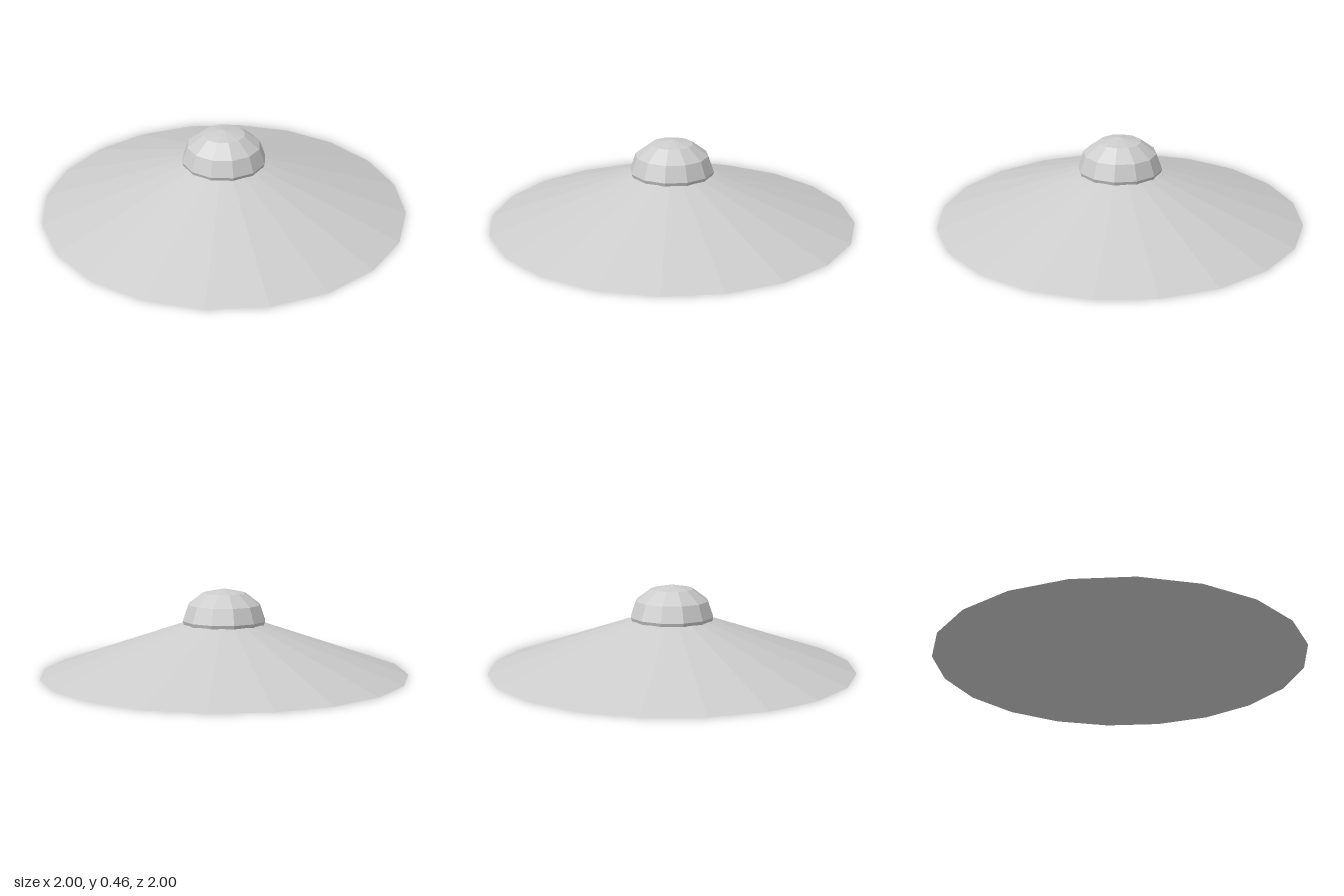
import * as THREE from 'three';

export function createModel() {
  const model = new THREE.Group();
  const grey = new THREE.MeshStandardMaterial({ color: 0xcccccc, flatShading: true });
  grey.name = 'light grey';

  const add = (name, geometry, y) => {
    const mesh = new THREE.Mesh(geometry, grey);
    mesh.name = name;
    mesh.position.y = y;
    model.add(mesh);
    return mesh;
  };

  // Wide, shallow cone with a closed underside
  const coneHeight = 0.346;
  add('brim', new THREE.ConeGeometry(1, coneHeight, 20), coneHeight / 2);

  // Flattened low-poly sphere sunk into the cone's tip
  add('dome', new THREE.SphereGeometry(0.23, 12, 6), 0.288).scale.y = 0.75;

  return model;
}
